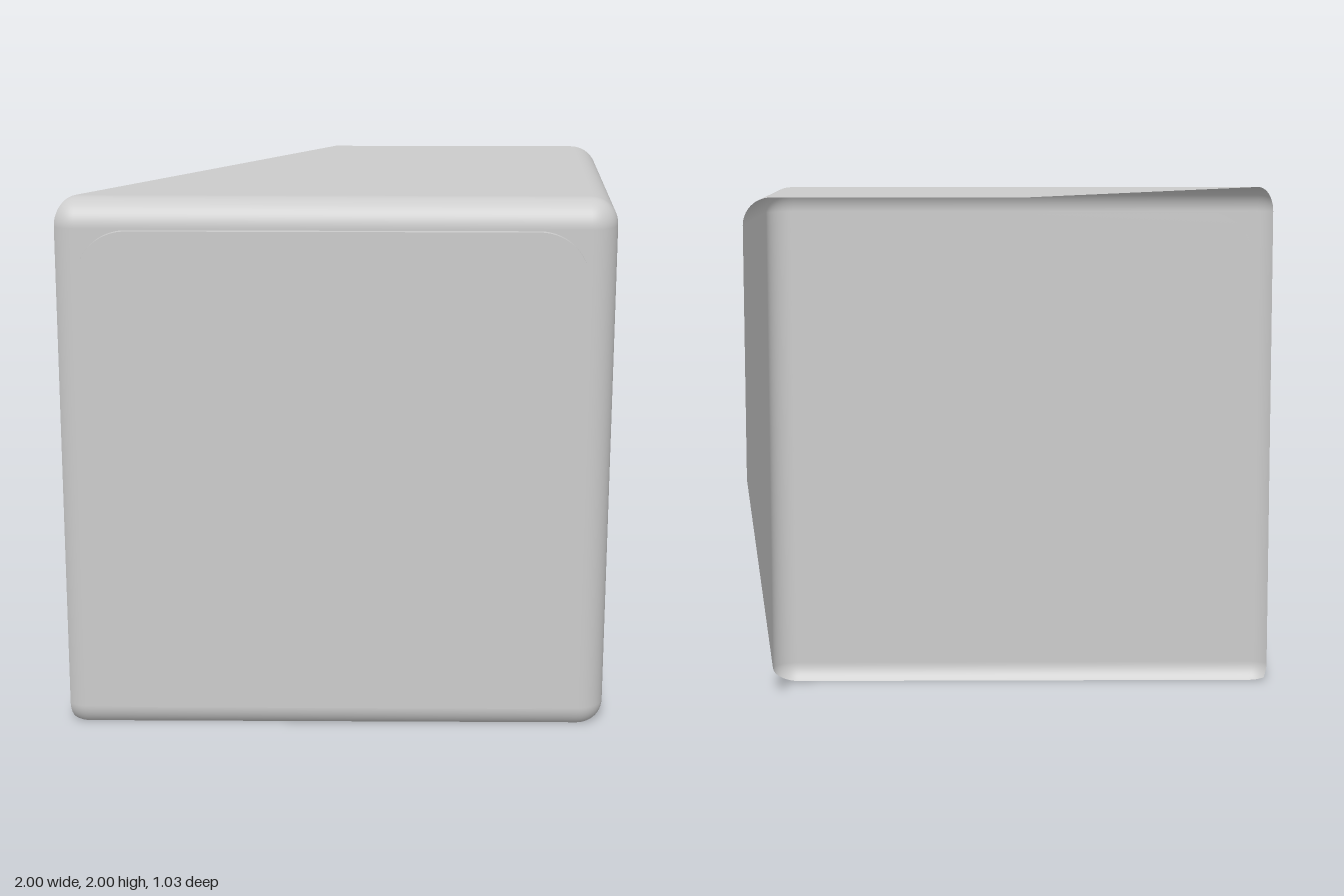
import * as THREE from 'three';
import { RoundedBoxGeometry } from 'three/addons/geometries/RoundedBoxGeometry.js';

const HALF = 1.015;    // half the edge of the full rounded cube
const RADIUS = 0.1;
const PANEL = 0.02;    // panel thickness

// Keeps the part of a polygon where side(position) >= 0.
function clipPolygon(polygon, side) {
  const kept = [];
  polygon.forEach((a, i) => {
    const b = polygon[(i + 1) % polygon.length];
    const da = side(a.p), db = side(b.p);
    if (da >= 0) kept.push(a);
    if ((da > 0 && db < 0) || (da < 0 && db > 0)) {
      const t = da / (da - db);
      kept.push({ p: a.p.clone().lerp(b.p, t), n: a.n.clone().lerp(b.n, t).normalize() });
    }
  });
  return kept;
}

// Cuts a geometry with several planes and leaves it open.
function cutOpen(source, sides) {
  const flat = source.index ? source.toNonIndexed() : source;
  const { position, normal } = flat.attributes;
  const positions = [], normals = [];
  for (let i = 0; i < position.count; i += 3) {
    let polygon = [0, 1, 2].map((k) => ({
      p: new THREE.Vector3().fromBufferAttribute(position, i + k),
      n: new THREE.Vector3().fromBufferAttribute(normal, i + k),
    }));
    for (const side of sides) polygon = clipPolygon(polygon, side);
    for (let k = 1; k < polygon.length - 1; k++) {
      for (const v of [polygon[0], polygon[k], polygon[k + 1]]) {
        positions.push(...v.p.toArray());
        normals.push(...v.n.toArray());
      }
    }
  }
  const geometry = new THREE.BufferGeometry();
  geometry.setAttribute('position', new THREE.Float32BufferAttribute(positions, 3));
  geometry.setAttribute('normal', new THREE.Float32BufferAttribute(normals, 3));
  return geometry;
}

function roundedSquare(h, r) {
  const s = new THREE.Shape();
  s.absarc(h - r, h - r, r, 0, Math.PI / 2);
  s.absarc(r - h, h - r, r, Math.PI / 2, Math.PI);
  s.absarc(r - h, r - h, r, Math.PI, Math.PI * 1.5);
  s.absarc(h - r, r - h, r, Math.PI * 1.5, Math.PI * 2);
  s.closePath();
  return s;
}

export function createModel() {
  const group = new THREE.Group();
  group.name = 'cubeCorner';

  // Thin shell: front, top and left walls, cut on the diagonals and at mid depth
  const shell = new THREE.Mesh(
    cutOpen(new RoundedBoxGeometry(2 * HALF, 2 * HALF, 2 * HALF, 8, RADIUS), [
      (p) => p.z,
      (p) => p.x + p.z,
      (p) => p.y + p.z,
    ]),
    new THREE.MeshStandardMaterial({ color: 0xcccccc, side: THREE.DoubleSide })
  );
  shell.name = 'shell';

  // Raised panel on the front face
  const panel = new THREE.Mesh(
    new THREE.ExtrudeGeometry(roundedSquare(0.91, 0.18), {
      depth: PANEL, bevelEnabled: false, curveSegments: 12,
    }),
    new THREE.MeshStandardMaterial({ color: 0xcccccc })
  );
  panel.name = 'frontPanel';
  panel.position.z = HALF;

  group.add(shell, panel);
  // Centre of the full cube, so the cut piece stands on the ground and is centred
  const inset = RADIUS * (1 - Math.SQRT1_2);
  group.position.set(1 - HALF, HALF - inset, -(HALF + PANEL) / 2);
  group.position.x = inset / 2 - HALF + 1 - inset;
  const model = new THREE.Group();
  model.name = 'model';
  model.add(group);
  return model;
}
